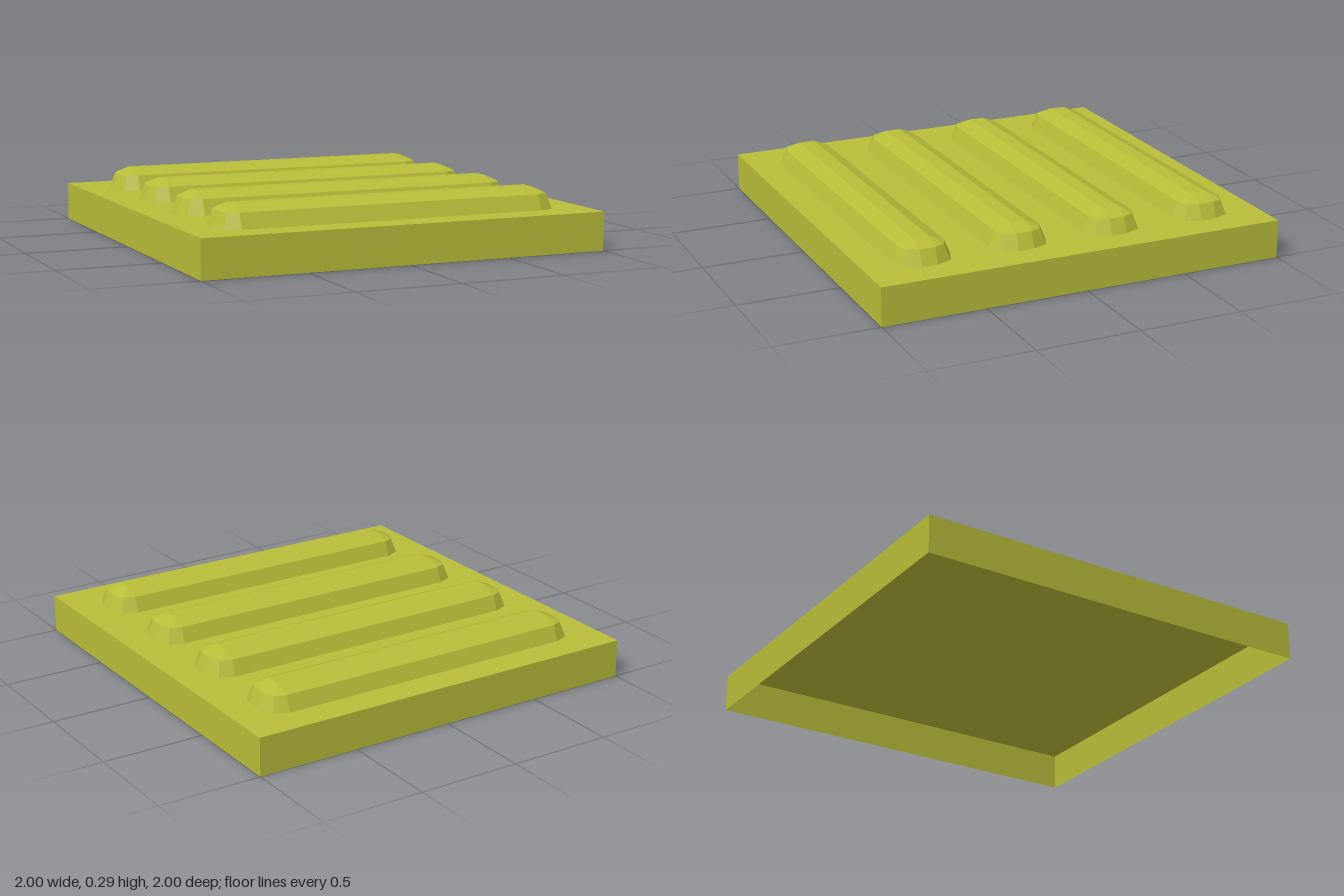
import * as THREE from 'three';

const TOP = 0.185; // height of the plate surface

// Low-poly rounded bar: core rectangle grown by a quarter-round in plan and section
function barGeometry(coreX, coreZ, radius) {
  const steps = 2, rings = [];
  for (let level = 0; level <= steps; level++) {
    const lift = (level / steps) * Math.PI / 2;
    const r = radius * Math.cos(lift), y = radius * Math.sin(lift);
    const ring = [];
    [[1, 1], [-1, 1], [-1, -1], [1, -1]].forEach(([sx, sz], quadrant) => {
      for (let i = 0; i <= steps; i++) {
        const a = (quadrant + i / steps) * Math.PI / 2;
        ring.push([sx * coreX + r * Math.cos(a), y, sz * coreZ + r * Math.sin(a)]);
      }
    });
    rings.push(ring);
  }
  const points = [], n = rings[0].length;
  for (let i = 0; i < n; i++) {
    const j = (i + 1) % n;
    for (let level = 0; level < steps; level++) {
      const low = rings[level], high = rings[level + 1];
      points.push(low[j], low[i], high[i]);
      // skip the collapsed triangles where the last ring shrinks to the core corners
      if (level < steps - 1 || i % (steps + 1) === steps) points.push(low[j], high[i], high[j]);
    }
    // flat top
    if (i % (steps + 1) === steps) points.push([0, radius, 0], rings[steps][j], rings[steps][i]);
  }
  const geometry = new THREE.BufferGeometry();
  geometry.setAttribute('position', new THREE.Float32BufferAttribute(points.flat(), 3));
  geometry.computeVertexNormals();
  return geometry;
}

export function createModel() {
  const model = new THREE.Group();
  model.name = 'tactilePavingTile';
  const material = new THREE.MeshStandardMaterial({
    color: 0xb8bc38, flatShading: true, side: THREE.DoubleSide,
  });

  // Square tile, hollow and open underneath (bottom face removed)
  const tileGeometry = new THREE.BoxGeometry(2, TOP, 2);
  const index = Array.from(tileGeometry.index.array);
  index.splice(18, 6);
  tileGeometry.setIndex(index);
  tileGeometry.clearGroups();
  const tile = new THREE.Mesh(tileGeometry, material);
  tile.name = 'tile';
  tile.position.y = TOP / 2;
  model.add(tile);

  // Four raised guide bars
  const bar = barGeometry(0.752, 0.038, 0.103);
  for (let i = 0; i < 4; i++) {
    const mesh = new THREE.Mesh(bar, material);
    mesh.name = `guideBar${i + 1}`;
    mesh.position.set(0, TOP, (i - 1.5) * 0.473);
    model.add(mesh);
  }
  return model;
}
